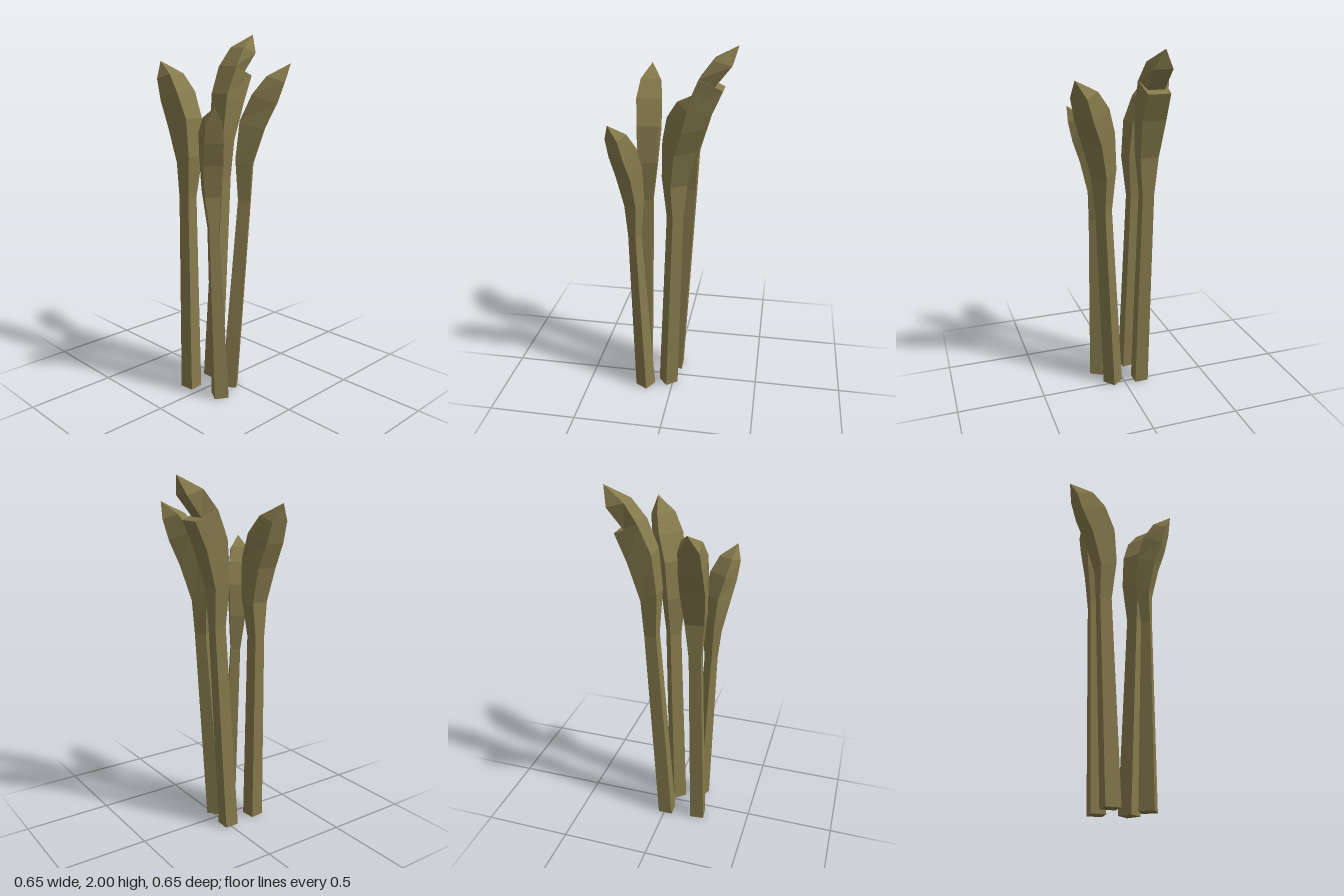
import * as THREE from 'three';

// Cross-sections from base to bud:
// [inner u, inner y, outer u, outer y, inner half width, outer half width]
const BASE = [-0.041, 0, 0.041, 0, 0.04, 0.04];
const STALK_TOP = [0.047, 1.21, 0.114, 1.21, 0.033, 0.033];
const SWELL = [0.034, 1.46, 0.124, 1.42, 0.055, 0.052];
const SHOULDER = [0.057, 1.68, 0.187, 1.63, 0.062, 0.065];
const FLARE = [0.122, 1.83, 0.252, 1.775, 0.07, 0.061];
const NECK = [0.124, 1.832, 0.205, 1.79, 0.068, 0.045];
const BUD = [0.197, 1.93, 0.292, 1.9, 0.053, 0.053];
const TIP = [0.322, 2, 0.322, 2, 0, 0];

// Square-sectioned spear that bends outward along its lean direction
function makeSpear(name, material, o) {
  const sections = [BASE, STALK_TOP, SWELL, SHOULDER, FLARE, ...(o.neck ? [NECK] : []), BUD, TIP];
  const len = Math.hypot(o.lean[0], o.lean[1]);
  const dx = o.lean[0] / len, dz = o.lean[1] / len;

  const corner = (u, y, w, isBase) => {
    const h = y * o.height;
    const a = u * (isBase ? 1 : o.reach) + h * o.tilt;
    const b = w * (isBase ? 1 : o.width) + h * o.sway;
    return [o.base[0] + a * dx - b * dz, h, o.base[1] + a * dz + b * dx];
  };
  const rings = sections.map(([ui, yi, uo, yo, wi, wo], i) => [
    corner(ui, yi, -wi, i === 0), corner(uo, yo, -wo, i === 0),
    corner(uo, yo, wo, i === 0), corner(ui, yi, wi, i === 0),
  ]);

  const pos = [];
  const tri = (a, b, c) => pos.push(...a, ...b, ...c);
  // Flat bottom
  tri(rings[0][0], rings[0][1], rings[0][2]);
  tri(rings[0][0], rings[0][2], rings[0][3]);
  // Four sides, closing to a point
  for (let i = 0; i < rings.length - 1; i++) {
    const lo = rings[i], hi = rings[i + 1];
    for (let j = 0; j < 4; j++) {
      const k = (j + 1) % 4;
      tri(lo[k], lo[j], hi[j]);
      if (i < rings.length - 2) tri(lo[k], hi[j], hi[k]);
    }
  }
  const geometry = new THREE.BufferGeometry();
  geometry.setAttribute('position', new THREE.Float32BufferAttribute(pos, 3));
  geometry.computeVertexNormals();
  const mesh = new THREE.Mesh(geometry, material);
  mesh.name = name;
  return mesh;
}

export function createModel() {
  const group = new THREE.Group();
  group.name = 'spears';
  const olive = new THREE.MeshStandardMaterial({ color: 0x857a4c });
  olive.name = 'olive stalk';

  const spears = {
    backLeftSpear: { base: [-0.007, -0.1], lean: [1, 0], height: 1, reach: 1, width: 1, tilt: 0, sway: -0.002, neck: true },
    frontLeftSpear: { base: [-0.028, 0.065], lean: [0.62, 0.78], height: 0.925, reach: 0.98, width: 1, tilt: 0, sway: 0 },
    backRightSpear: { base: [-0.2, -0.083], lean: [-0.1, -0.995], height: 0.929, reach: 1, width: 1, tilt: -0.043, sway: 0.023 },
    frontRightSpear: { base: [-0.16, 0.12], lean: [-0.5, 0.86], height: 0.823, reach: 0.75, width: 0.82, tilt: -0.04, sway: 0.041 },
  };
  for (const [name, options] of Object.entries(spears)) group.add(makeSpear(name, olive, options));
  return group;
}
